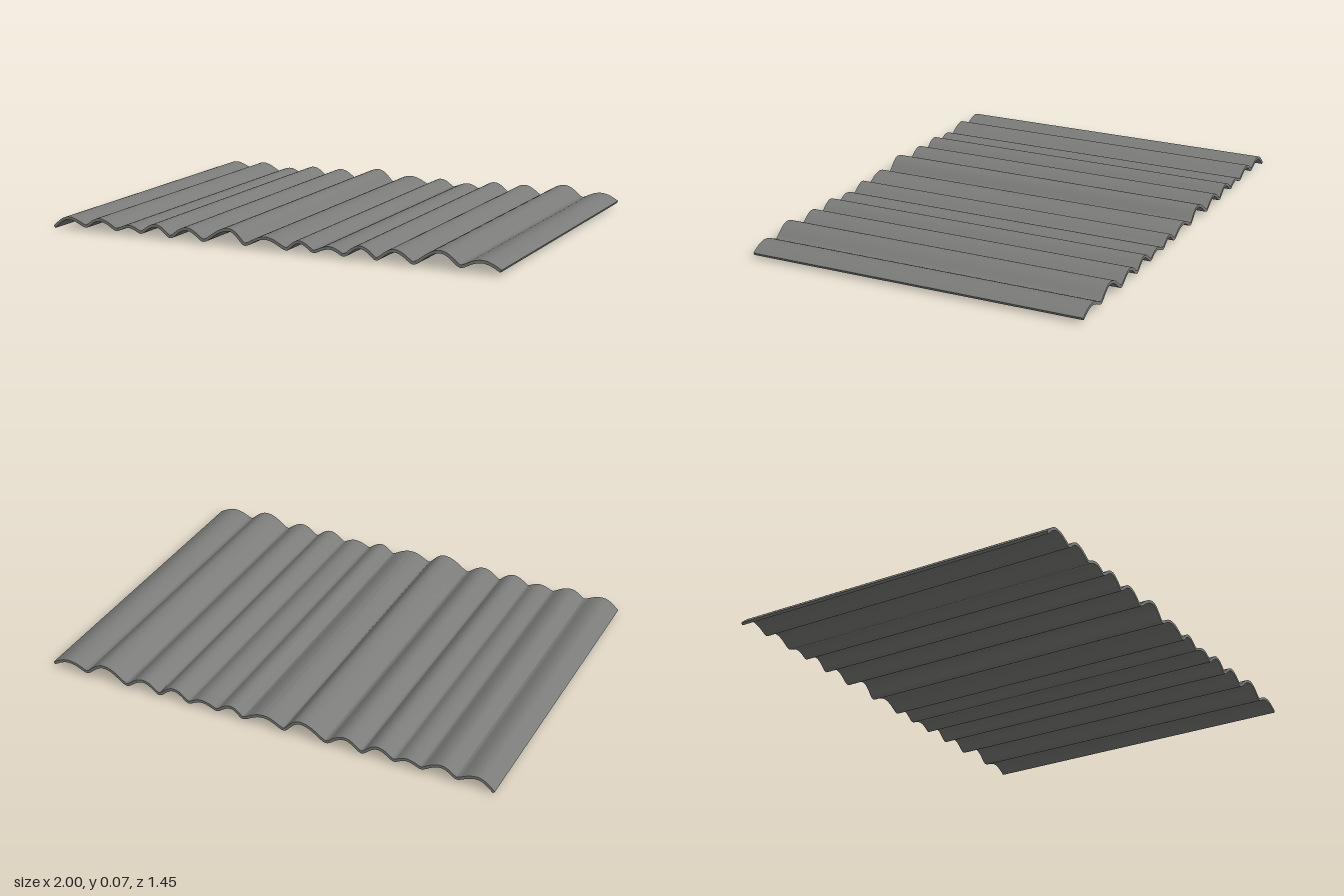
import * as THREE from 'three';
import { toCreasedNormals } from 'three/addons/utils/BufferGeometryUtils.js';

const LENGTH = 1.454, THICKNESS = 0.012, STEPS = 14;

// Alternating valley and crest points of the sheet's centre line
const KNOTS = [
  [-0.996, 0.0045], [-0.925, 0.048], [-0.84, 0.021], [-0.775, 0.054], [-0.69, 0.021],
  [-0.63, 0.039], [-0.575, 0.02], [-0.505, 0.054], [-0.435, 0.015], [-0.36, 0.054],
  [-0.28, 0.015], [-0.165, 0.069], [-0.09, 0.017], [0, 0.05], [0.095, 0.016],
  [0.15, 0.049], [0.215, 0.018], [0.285, 0.038], [0.345, 0.016], [0.415, 0.054],
  [0.485, 0.015], [0.56, 0.054], [0.64, 0.015], [0.75, 0.069], [0.835, 0.022],
  [0.92, 0.048], [0.997, 0.019],
];

// Round arches joined by tight, softened valleys; the two outer edges stay steep
function centreLine() {
  const points = [];
  const last = KNOTS.length - 2;
  for (let i = 0; i <= last; i++) {
    const [a, b] = [KNOTS[i], KNOTS[i + 1]];
    const rising = i % 2 === 0;
    const [valley, crest] = rising ? [a, b] : [b, a];
    const soft = i === 0 || i === last ? 0.01 : 0.25;
    for (let s = i ? 1 : 0; s <= STEPS; s++) {
      const t = s / STEPS;
      const arch = Math.sin((rising ? t : 1 - t) * Math.PI / 2);
      const lift = (Math.hypot(arch, soft) - soft) / (Math.hypot(1, soft) - soft);
      points.push(new THREE.Vector2(
        THREE.MathUtils.lerp(a[0], b[0], t),
        THREE.MathUtils.lerp(valley[1], crest[1], lift)));
    }
  }
  return points;
}

// Moves the line sideways along its normals
function offset(points, d) {
  return points.map((p, i) => {
    const prev = points[Math.max(i - 1, 0)];
    const next = points[Math.min(i + 1, points.length - 1)];
    const dir = next.clone().sub(prev).normalize();
    return new THREE.Vector2(p.x - dir.y * d, p.y + dir.x * d);
  });
}

export function createModel() {
  const group = new THREE.Group();
  group.name = 'corrugatedSheet';

  // Closed wavy cross-section, extruded along z
  const line = centreLine();
  const top = offset(line, THICKNESS / 2);
  const bottom = offset(line, -THICKNESS / 2);
  const shape = new THREE.Shape([...bottom, ...top.reverse()]);
  const extruded = new THREE.ExtrudeGeometry(shape, { depth: LENGTH, bevelEnabled: false });
  extruded.translate(0, 0, -LENGTH / 2);

  // Smooth waves, sharp outer edges
  const sheet = new THREE.Mesh(
    toCreasedNormals(extruded, Math.PI / 3),
    new THREE.MeshStandardMaterial({ color: 0x7b7b79 }));
  sheet.name = 'wavySheet';
  group.add(sheet);
  return group;
}
